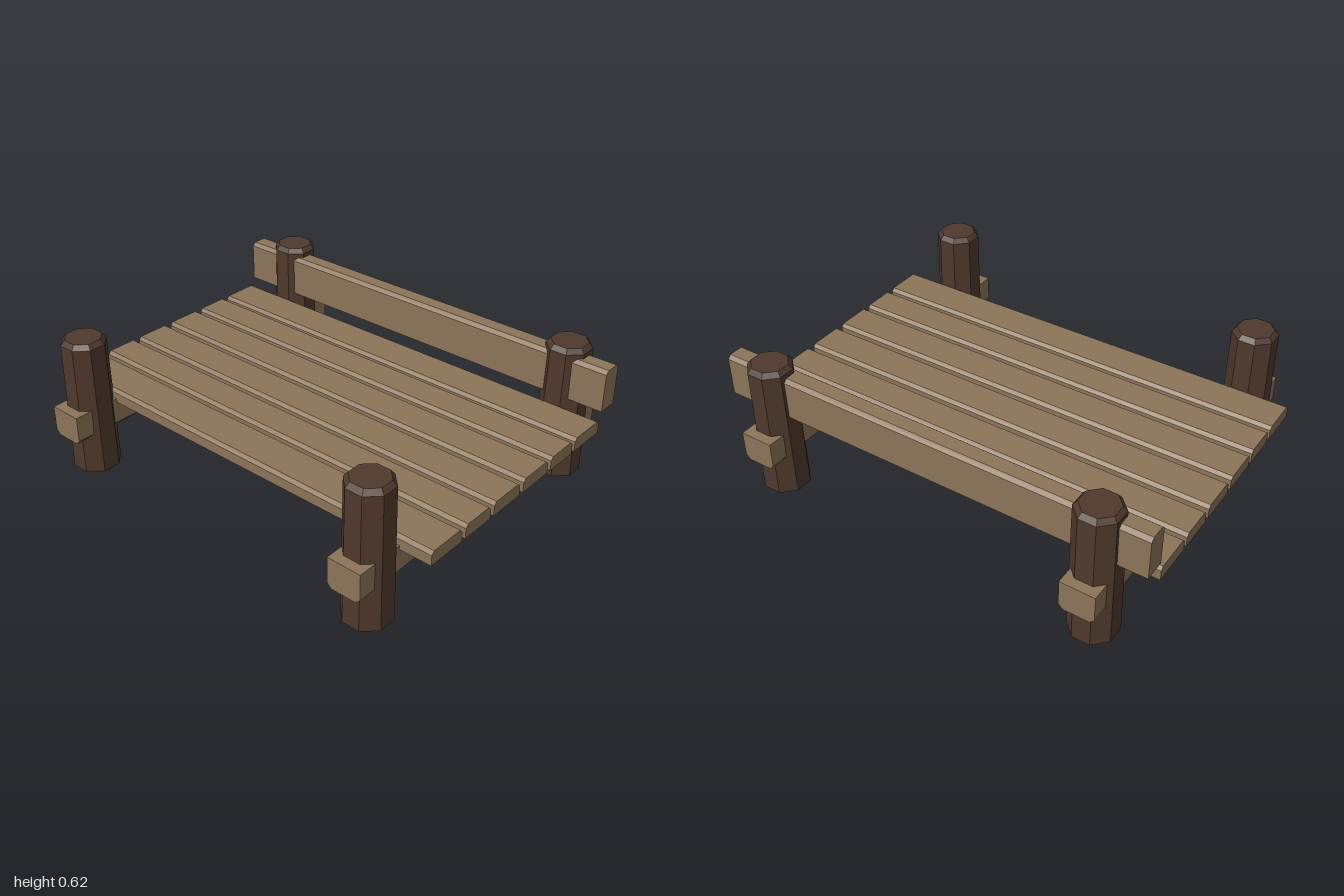
import * as THREE from 'three';

const paleWood = new THREE.MeshStandardMaterial({ color: 0x8c7558 });
paleWood.name = 'paleWood';
const darkWood = new THREE.MeshStandardMaterial({ color: 0x4f392d });
darkWood.name = 'darkWood';

// Bar of the given cross-section, extruded along z and centred, with two bevelled upper corners
function beamGeometry(width, height, length, bevel) {
  const w = width / 2, h = height / 2;
  const section = new THREE.Shape([
    [-w, -h], [w, -h], [w, h - bevel], [w - bevel, h], [-w + bevel, h], [-w, h - bevel],
  ].map(([x, y]) => new THREE.Vector2(x, y)));
  return new THREE.ExtrudeGeometry(section, { depth: length, bevelEnabled: false })
    .translate(0, 0, -length / 2);
}

function addMesh(parent, name, geometry, material, x, y, z) {
  const mesh = new THREE.Mesh(geometry, material);
  mesh.name = name;
  mesh.position.set(x, y, z);
  parent.add(mesh);
  return mesh;
}

// Octagonal post, slightly tapered, with a chamfered top
function postGeometry() {
  const k = 1 / Math.cos(Math.PI / 8); // flat-to-flat half width -> corner radius
  const profile = [[0, 0], [0.098, 0], [0.098, 0], [0.092, 0.6], [0.092, 0.6], [0.075, 0.622], [0.075, 0.622], [0, 0.622]]
    .filter((p, i, a) => i === 0 || p[0] !== a[i - 1][0] || p[1] !== a[i - 1][1])
    .map(([r, y]) => new THREE.Vector2(r * k, y));
  const geometry = new THREE.LatheGeometry(profile, 8, Math.PI / 8).toNonIndexed();
  geometry.computeVertexNormals(); // one normal per facet
  return geometry;
}

export function createModel() {
  const model = new THREE.Group();
  model.name = 'woodenBed';

  // Corner posts and the side rails that run through them
  const post = postGeometry();
  const rail = beamGeometry(0.154, 0.135, 1.6, 0.02).rotateZ(Math.PI); // bevels face down
  for (const side of [1, -1]) {
    const s = side > 0 ? 'left' : 'right';
    addMesh(model, s + 'FrontPost', post, darkWood, side * 0.78, 0, 0.66);
    addMesh(model, s + 'BackPost', post, darkWood, side * 0.78, 0, -0.66);
    addMesh(model, s + 'SideRail', rail, paleWood, side * 0.78, 0.2425, 0);
  }

  // Planks across the rails: [front z, back z]
  const planks = [[0.58, 0.395], [0.373, 0.212], [0.19, 0.015], [-0.01, -0.185], [-0.208, -0.37], [-0.39, -0.578]];
  planks.forEach(([front, back], i) => {
    const geometry = beamGeometry(front - back, 0.06, 2, 0.014).rotateY(Math.PI / 2);
    addMesh(model, 'plank' + (i + 1), geometry, paleWood, 0, 0.323, (front + back) / 2);
  });

  // Board between the back posts
  const board = beamGeometry(0.096, 0.19, 2, 0.016).rotateY(Math.PI / 2);
  addMesh(model, 'headBoard', board, paleWood, 0, 0.485, -0.636);

  return model;
}
